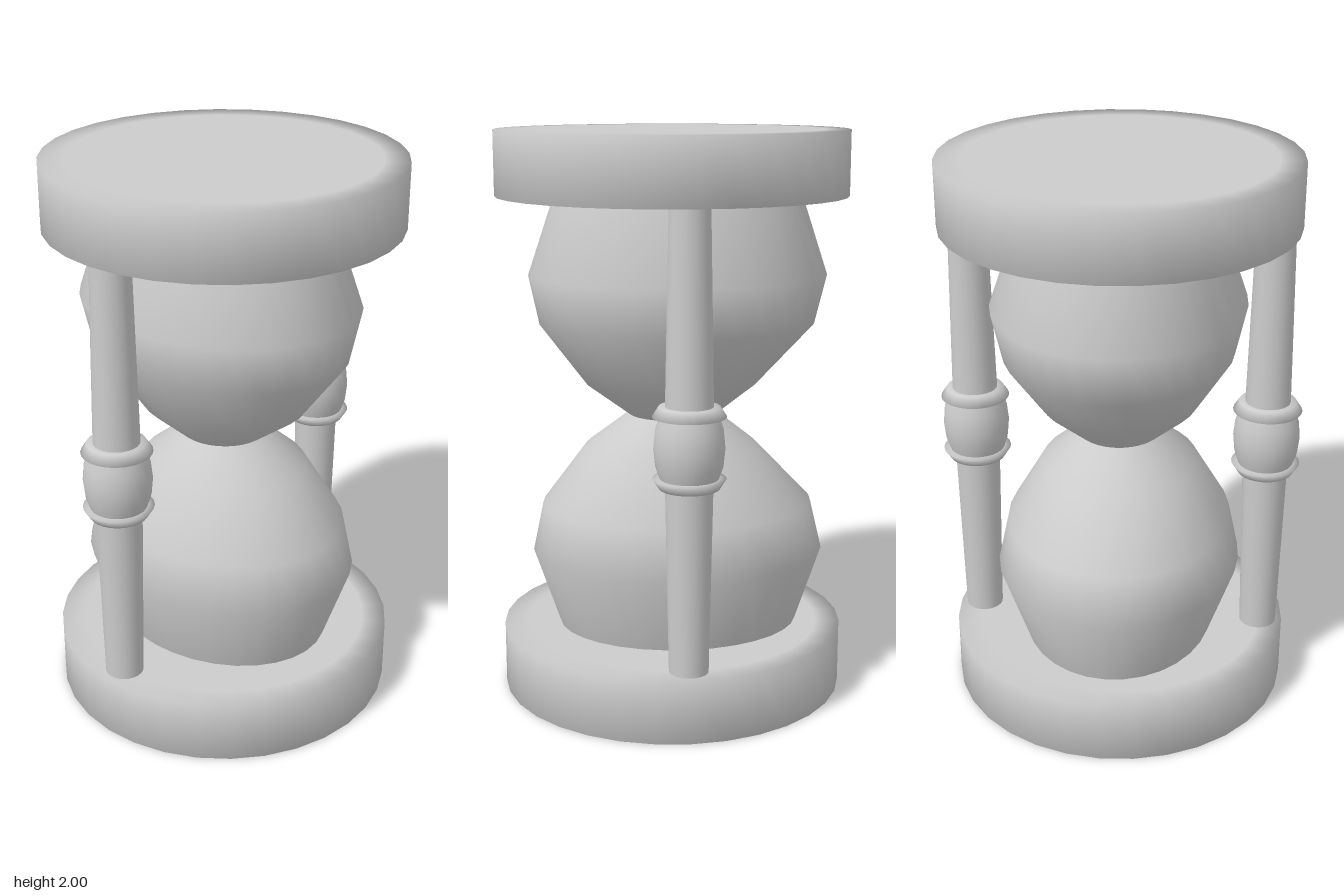
import * as THREE from 'three';
import { mergeVertices } from 'three/addons/utils/BufferGeometryUtils.js';

const material = new THREE.MeshStandardMaterial({ color: 0xcccccc, side: THREE.DoubleSide });

function lathe(points, segments) {
  return new THREE.LatheGeometry(points.map(([r, y]) => new THREE.Vector2(r, y)), segments);
}

function addMesh(parent, name, geometry, x = 0, y = 0, z = 0) {
  const mesh = new THREE.Mesh(geometry, material);
  mesh.name = name;
  mesh.position.set(x, y, z);
  parent.add(mesh);
  return mesh;
}

// Oval glass bulb; each ring is [y, half width, front z, back z], bottom to top
function bulbGeometry(rings) {
  const raw = lathe(rings.map(([y, r]) => [r, y]), 32);
  const pos = raw.attributes.position;
  for (let i = 0; i < pos.count; i++) {
    const [, r, front, back] = rings[i % rings.length];
    pos.setZ(i, (front + back) / 2 + (pos.getZ(i) / r) * (front - back) / 2);
  }
  raw.deleteAttribute('uv');
  raw.deleteAttribute('normal');
  const geometry = mergeVertices(raw);
  geometry.computeVertexNormals();
  return geometry;
}

export function createModel() {
  const model = new THREE.Group();
  model.name = 'hourglass';

  // Round end plates with softly shaded rims
  const plate = lathe([[0, 0], [0.53, 0], [0.615, 0], [0.615, 0.225], [0.53, 0.225], [0, 0.225]], 32);
  addMesh(model, 'basePlate', plate);
  addMesh(model, 'topPlate', plate, 0, 1.775, 0);

  // Glass bulbs, the upper one mirrored about y = 1
  const rings = [
    [0.22, 0.345, 0.41, -0.455],
    [0.5, 0.443, 0.505, -0.547],
    [0.675, 0.405, 0.468, -0.505],
    [0.885, 0.28, 0.31, -0.305],
    [1.0, 0.15, 0.155, -0.16],
  ];
  addMesh(model, 'lowerBulb', bulbGeometry(rings));
  addMesh(model, 'upperBulb', bulbGeometry(rings.map(([y, ...r]) => [2 - y, ...r]).reverse()));

  // Turned posts: tapered shafts, flared rings and a rounded centre bead
  const shaftLower = new THREE.CylinderGeometry(0.08, 0.067, 0.68, 24, 1, true);
  const shaftUpper = new THREE.CylinderGeometry(0.067, 0.08, 0.68, 24, 1, true);
  const bead = lathe([[0.095, 0.89], [0.112, 0.94], [0.118, 1], [0.112, 1.06], [0.095, 1.11]], 24);
  const lowerRing = lathe([[0.07, 0.863], [0.1, 0.863], [0.122, 0.897], [0.09, 0.897]], 24);
  const upperRing = lathe([[0.09, 1.103], [0.122, 1.103], [0.1, 1.137], [0.07, 1.137]], 24);
  for (const [name, side] of [['leftPost', 1], ['rightPost', -1]]) {
    const post = new THREE.Group();
    post.name = name;
    post.position.x = side * 0.525;
    addMesh(post, 'lowerShaft', shaftLower, 0, 0.54, 0);
    addMesh(post, 'upperShaft', shaftUpper, 0, 1.46, 0);
    addMesh(post, 'centreBead', bead);
    addMesh(post, 'lowerRing', lowerRing);
    addMesh(post, 'upperRing', upperRing);
    model.add(post);
  }
  return model;
}
